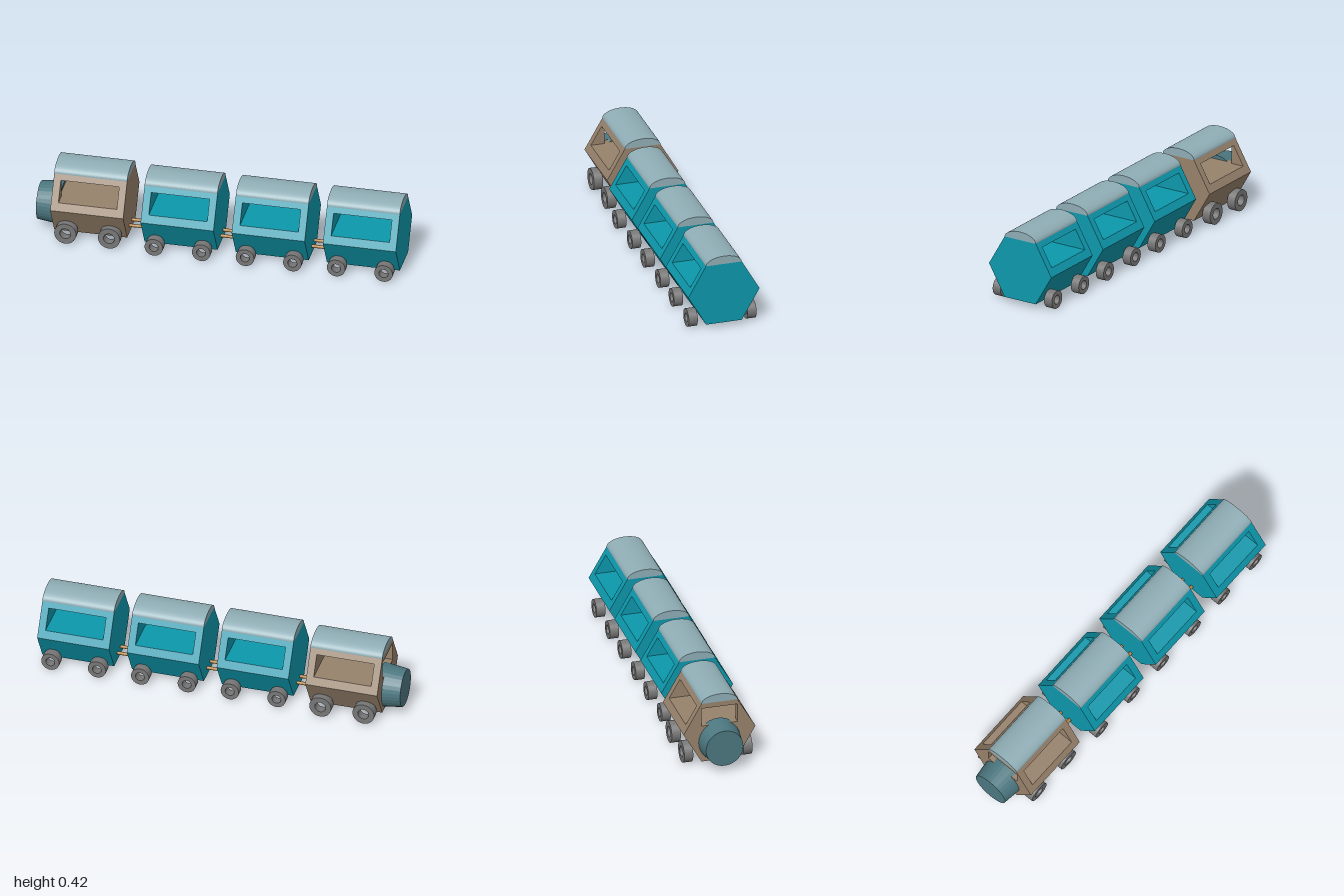
import * as THREE from 'three';

const mat = (color) => new THREE.MeshStandardMaterial({ color, flatShading: true });
const TEAL = mat(0x0d98ac), BROWN = mat(0x97826c), ROOF = mat(0x8fadb5);
const BOILER = mat(0x4c7780), WHEEL = mat(0x777777), ROD = mat(0xb08040);

const R = 0.2, MID = 0.2, TOP = MID + R * Math.sin(Math.PI / 3), BOTTOM = 2 * MID - TOP;
const SILL = 0.24, LINTEL = 0.345, LENGTH = 0.4, POST = 0.04;

// Half width of the hexagonal section at height y
const halfWidth = (y) => R - Math.abs(y - MID) / Math.sqrt(3);

// Slice of the hexagonal section between two heights
function section(y0, y1) {
  const ys = [y0, ...(y0 < MID && y1 > MID ? [MID] : []), y1];
  const right = ys.map((y) => new THREE.Vector2(halfWidth(y), y));
  const left = [...ys].reverse().map((y) => new THREE.Vector2(-halfWidth(y), y));
  return new THREE.Shape([...right, ...left]);
}

function add(group, name, geometry, material) {
  const mesh = new THREE.Mesh(geometry, material);
  mesh.name = name;
  group.add(mesh);
  return mesh;
}

// Extrude a cross-section along x from x0 to x1
function alongX(shape, x0, x1) {
  return new THREE.ExtrudeGeometry(shape, { depth: x1 - x0, bevelEnabled: false, curveSegments: 32 })
    .rotateY(Math.PI / 2).translate(x0, 0, 0);
}

function wheelGeometry(r) {
  const ring = new THREE.Shape().absarc(0, 0, r, 0, Math.PI * 2);
  ring.holes.push(new THREE.Path().absarc(0, 0, r * 0.5, 0, Math.PI * 2, true));
  return new THREE.ExtrudeGeometry(ring, { depth: 0.05, bevelEnabled: false, curveSegments: 24 })
    .translate(0, 0, -0.025);
}

function createCar(name, material, wheelRadius, wheelSpan, frontWindow) {
  const car = new THREE.Group();
  car.name = name;
  const h = LENGTH / 2, inner = h - POST;

  // Body: end walls joined by a base and a header, leaving a window through the sides
  const frontWall = section(BOTTOM, TOP);
  if (frontWindow) {
    frontWall.holes.push(new THREE.Path([
      new THREE.Vector2(-0.1, SILL), new THREE.Vector2(-0.1, LINTEL),
      new THREE.Vector2(0.1, LINTEL), new THREE.Vector2(0.1, SILL),
    ]));
  }
  add(car, 'frontWall', alongX(frontWall, -h, -inner), material);
  add(car, 'rearWall', alongX(section(BOTTOM, TOP), inner, h), material);
  add(car, 'base', alongX(section(BOTTOM, SILL), -inner, inner), material);
  add(car, 'windowHeader', alongX(section(LINTEL, TOP), -inner, inner), material);

  // Arched roof
  const arch = new THREE.Shape().absellipse(0, TOP, 0.1, 0.42 - TOP, 0, Math.PI);
  add(car, 'roof', alongX(arch, -h, h), ROOF);

  // Four ring wheels
  for (const sx of [-1, 1]) {
    for (const sz of [-1, 1]) {
      add(car, 'wheel', wheelGeometry(wheelRadius), WHEEL)
        .position.set(sx * wheelSpan, wheelRadius, sz * 0.165);
    }
  }
  return car;
}

export function createModel() {
  const train = new THREE.Group();
  train.name = 'train';

  // Engine with tapered boiler
  const engine = createCar('engine', BROWN, 0.06, 0.12, true);
  engine.position.set(-0.7, 0, -0.01);
  const boiler = new THREE.CylinderGeometry(0.104, 0.12, 0.13, 32).rotateZ(Math.PI / 2);
  add(engine, 'boiler', boiler, BOILER).position.set(-0.235, 0.141, 0);
  train.add(engine);

  // Carriages, each with a pair of coupling rods ahead of it
  for (let i = 0; i < 3; i++) {
    const x = -0.2 + i * 0.5;
    const carriage = createCar('carriage', TEAL, 0.05, 0.13, false);
    carriage.position.set(x, 0, 0.01);
    train.add(carriage);
    for (const z of [-0.027, 0.035]) {
      const rod = new THREE.CylinderGeometry(0.009, 0.009, 0.12, 16).rotateZ(Math.PI / 2);
      add(train, 'couplingRod', rod, ROD).position.set(x - 0.25, 0.072, z);
    }
  }
  return train;
}
